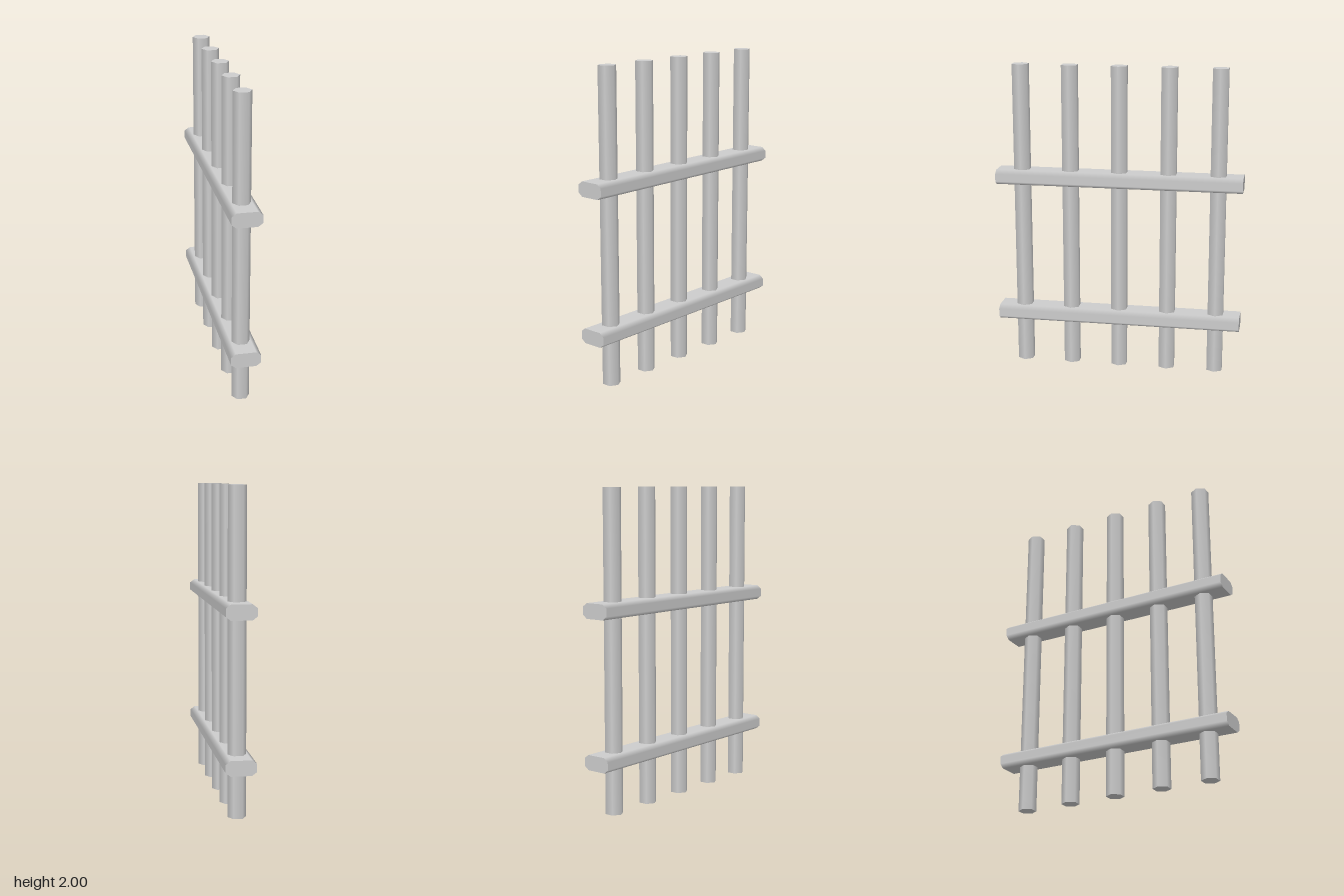
import * as THREE from 'three';

const metal = new THREE.MeshStandardMaterial({ color: 0xcccccc });
metal.name = 'light grey metal';

// Flat rail running along z: chamfered section with softly shaded edges
function railGeometry(halfW, halfH, flatX, flatY, length) {
  const shape = new THREE.Shape([
    [halfW, -flatY], [halfW, flatY], [flatX, halfH], [-flatX, halfH],
    [-halfW, flatY], [-halfW, -flatY], [-flatX, -halfH], [flatX, -halfH],
  ].map(([x, y]) => new THREE.Vector2(x, y)));
  const geo = new THREE.ExtrudeGeometry(shape, { depth: length, bevelEnabled: false });
  geo.translate(0, 0, -length / 2);
  // Wide faces stay flat; the chamfers blend between them
  const pos = geo.attributes.position, nor = geo.attributes.normal;
  for (let i = 0; i < pos.count; i++) {
    if (Math.abs(nor.getZ(i)) > 0.5) continue;
    const x = pos.getX(i), y = pos.getY(i);
    if (Math.abs(x) > halfW - 1e-4) nor.setXYZ(i, Math.sign(x), 0, 0);
    else nor.setXYZ(i, 0, Math.sign(y), 0);
  }
  return geo;
}

export function createModel() {
  const group = new THREE.Group();
  group.name = 'barFence';

  // Five upright six-sided bars
  const barGeo = new THREE.CylinderGeometry(0.057, 0.057, 2, 6);
  barGeo.rotateY(Math.PI / 6);
  for (let i = -2; i <= 2; i++) {
    const bar = new THREE.Mesh(barGeo, metal);
    bar.name = `uprightBar${i + 3}`;
    bar.position.set(0, 1, i * 0.32);
    group.add(bar);
  }

  // Two cross rails
  const railGeo = railGeometry(0.094, 0.0475, 0.064, 0.025, 1.6);
  for (const [name, y] of [['lowerRail', 0.342], ['upperRail', 1.268]]) {
    const rail = new THREE.Mesh(railGeo, metal);
    rail.name = name;
    rail.position.y = y;
    group.add(rail);
  }
  return group;
}
